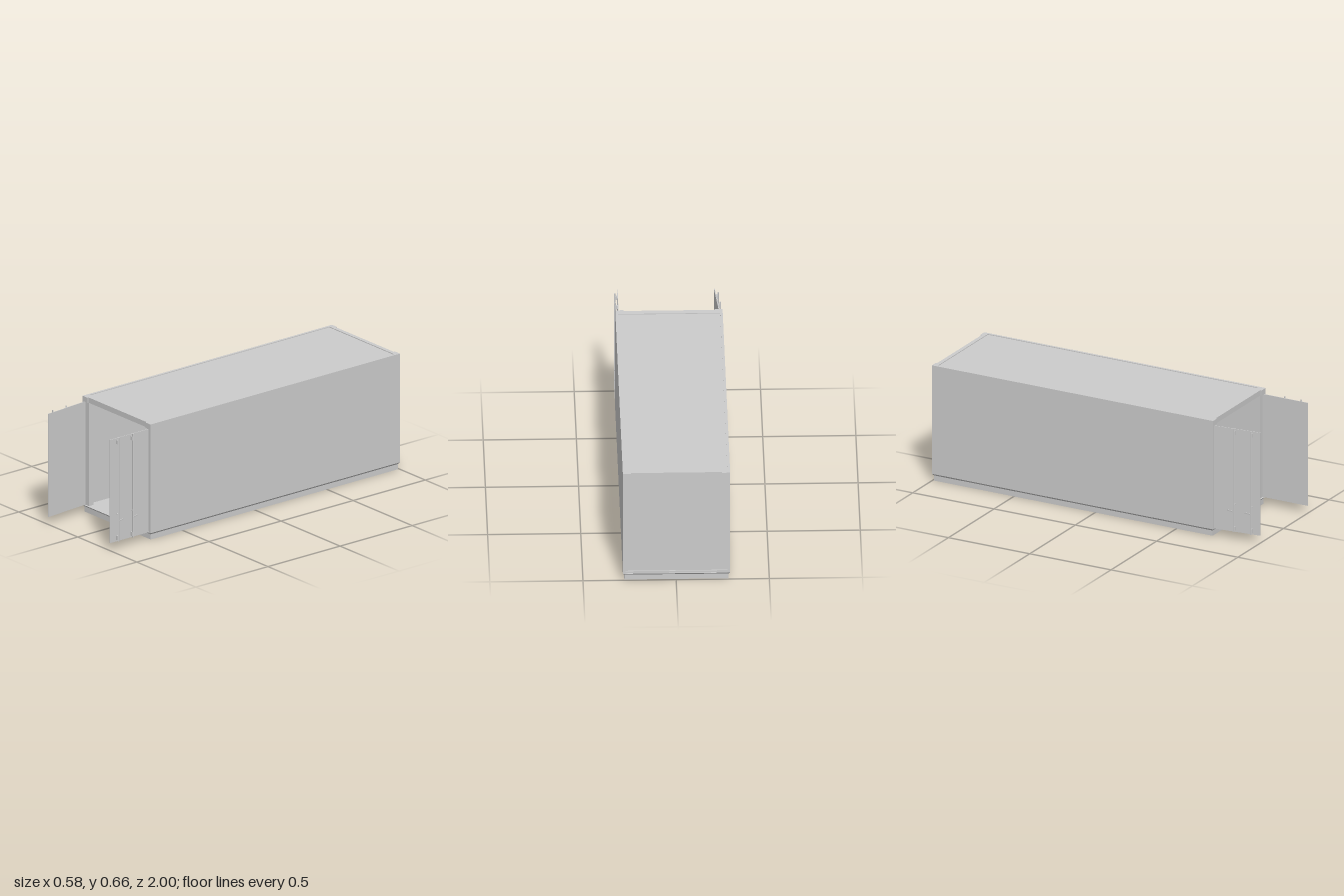
import * as THREE from 'three';

const material = new THREE.MeshStandardMaterial({ color: 0xcccccc, flatShading: true });

// Box given by its lower and upper limits on each axis
function block(parent, name, [x0, x1], [y0, y1], [z0, z1]) {
  const mesh = new THREE.Mesh(new THREE.BoxGeometry(x1 - x0, y1 - y0, z1 - z0), material);
  mesh.position.set((x0 + x1) / 2, (y0 + y1) / 2, (z0 + z1) / 2);
  mesh.name = name;
  parent.add(mesh);
  return mesh;
}

// Interval mirrored to side s
const side = (s, a, b) => (s > 0 ? [a, b] : [-b, -a]);

// Open door with two locking bars; local z runs from hinge to free edge
function createDoor(name, s) {
  const door = new THREE.Group();
  door.name = name;
  block(door, 'doorPanel', side(s, -0.004, 0), [0.042, 0.632], [0, 0.27]);
  for (const z of [0.12, 0.22]) {
    const bar = new THREE.Mesh(new THREE.CylinderGeometry(0.004, 0.004, 0.592, 8), material);
    bar.name = 'lockingBar';
    bar.position.set(s * 0.013, 0.341, z);
    door.add(bar);
    for (const [y0, y1] of [[0.052, 0.075], [0.198, 0.203], [0.6, 0.622]]) {
      block(door, 'barBracket', side(s, 0, 0.011), [y0, y1], [z - 0.006, z + 0.006]);
    }
    // Handle slopes from the bar back to the panel
    const handle = block(door, 'handle', [-0.002, 0.002], [0.158, 0.164], [-0.022, 0.022]);
    handle.position.x = s * 0.009;
    handle.position.z = z - 0.02;
    handle.rotation.y = s * 0.3;
  }
  return door;
}

export function createModel() {
  const model = new THREE.Group();
  model.name = 'shippingContainer';
  const body = new THREE.Group();
  body.name = 'body';
  body.position.x = -0.002;
  model.add(body);

  const W = 0.288, back = -1, front = 0.73, top = 0.662;

  // Base with a flared rim under the walls
  block(body, 'base', [-0.28, 0.28], [0, 0.03], [-0.992, 0.722]);
  const rim = block(body, 'baseRim', [-W, W], [0.03, 0.04], [back, front]);
  const p = rim.geometry.attributes.position;
  for (let i = 0; i < p.count; i++) {
    if (p.getY(i) < 0) {
      p.setX(i, p.getX(i) - Math.sign(p.getX(i)) * 0.008);
      p.setZ(i, p.getZ(i) - Math.sign(p.getZ(i)) * 0.008);
    }
  }
  rim.geometry.computeVertexNormals();

  // Walls, front posts and corner blocks
  for (const s of [1, -1]) {
    block(body, 'sideWall', side(s, 0.274, W), [0.04, top], [back, front]);
    block(body, 'frontPost', side(s, 0.245, 0.274), [0.04, 0.632], [0.69, 0.72]);
    block(body, 'frontCorner', side(s, 0.245, 0.274), [0.632, top], [0.69, front]);
    block(body, 'backCorner', side(s, 0.245, 0.274), [0.632, top], [back, -0.97]);
  }
  block(body, 'backWall', [-0.274, 0.274], [0.04, 0.655], [-0.988, -0.976]);
  block(body, 'backSill', [-0.274, 0.274], [0.04, 0.052], [-0.994, -0.988]);

  // Roof: shallow recessed panel between the end beams
  block(body, 'frontHeader', [-0.245, 0.245], [0.632, top], [0.69, 0.722]);
  block(body, 'backHeader', [-0.245, 0.245], [0.645, top], [-0.992, -0.97]);
  block(body, 'roof', [-0.274, 0.274], [0.645, 0.658], [-0.976, 0.69]);

  // Doors swung open
  const leftDoor = createDoor('leftDoor', 1);
  leftDoor.position.set(0.271, 0, front);
  const rightDoor = createDoor('rightDoor', -1);
  rightDoor.position.set(-0.278, 0, front);
  rightDoor.rotation.y = 0.09;
  model.add(leftDoor, rightDoor);
  return model;
}
